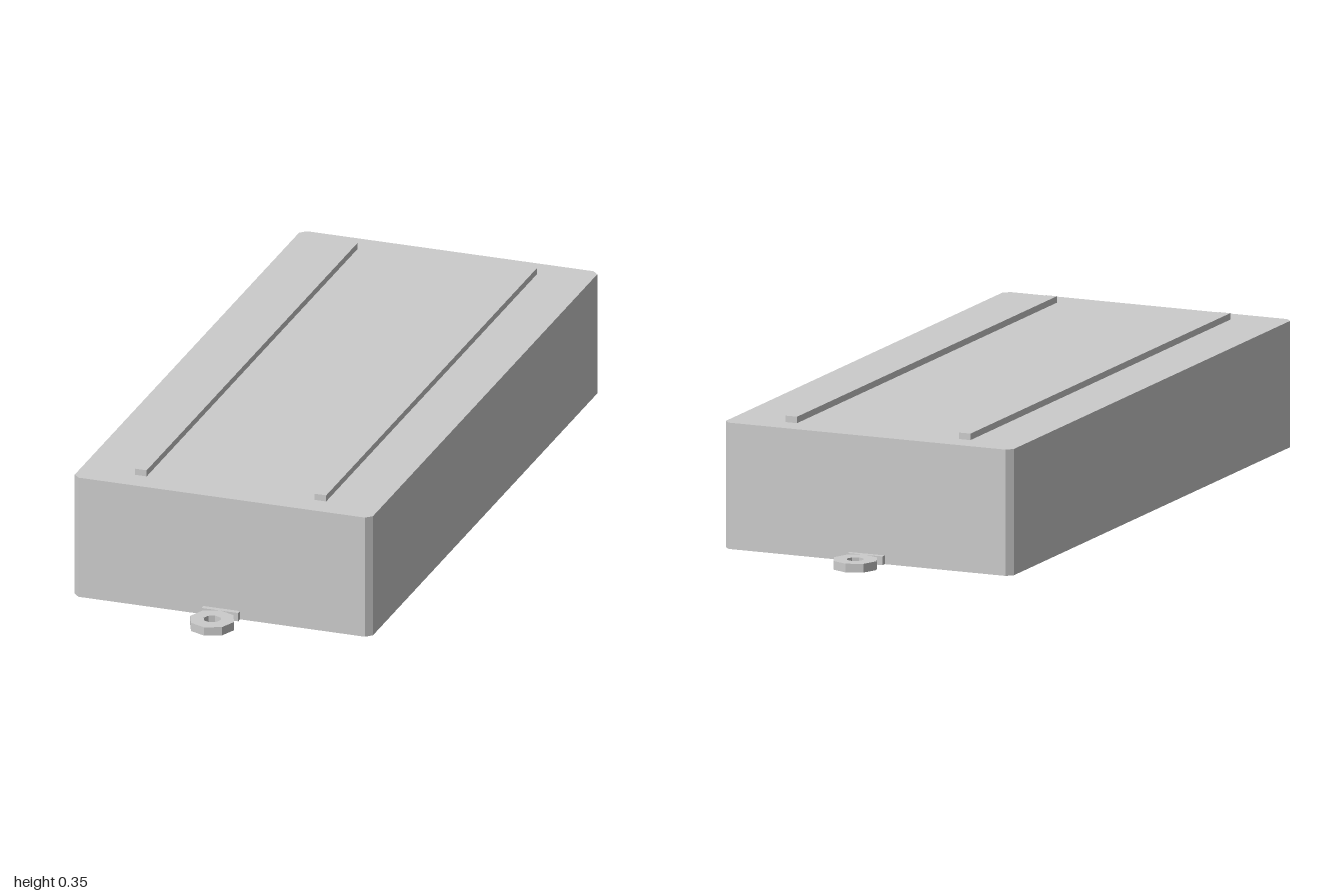
import * as THREE from 'three';

export function createModel() {
  const grey = new THREE.MeshStandardMaterial({ color: 0xcccccc, flatShading: true });
  grey.name = 'light grey';
  const model = new THREE.Group();
  model.name = 'ribbedBox';

  const add = (name, geometry, x, y, z) => {
    const mesh = new THREE.Mesh(geometry, grey);
    mesh.name = name;
    mesh.position.set(x, y, z);
    model.add(mesh);
    return mesh;
  };

  // Extrudes a plan outline upwards
  const extrudeUp = (shape, height) =>
    new THREE.ExtrudeGeometry(shape, { depth: height, bevelEnabled: false }).rotateX(-Math.PI / 2);

  const octagon = (r) => Array.from({ length: 8 }, (_, i) =>
    new THREE.Vector2(r * Math.cos(i * Math.PI / 4), r * Math.sin(i * Math.PI / 4)));

  // Box body with chamfered upright corners
  const w = 0.407, d = 0.867, c = 0.016;
  const outline = [
    [w, c - d], [w, d - c], [w - c, d], [c - w, d],
    [-w, d - c], [-w, c - d], [c - w, -d], [w - c, -d],
  ].map(([x, y]) => new THREE.Vector2(x, y));
  add('body', extrudeUp(new THREE.Shape(outline), 0.332), 0, 0, 0);

  // Long ribs on the lid
  for (const side of [1, -1]) {
    add(side > 0 ? 'leftRib' : 'rightRib',
      new THREE.BoxGeometry(0.032, 0.022, 1.6), side * 0.245, 0.338, 0);
  }

  // Mounting eyelet and its foot at each end
  for (const end of [1, -1]) {
    const label = end > 0 ? 'front' : 'back';
    const ring = new THREE.Shape(octagon(0.06));
    ring.holes.push(new THREE.Path(octagon(0.023).reverse()));
    add(label + 'Eyelet', extrudeUp(ring, 0.023), 0, 0, end * 0.94);
    add(label + 'EyeletFoot', new THREE.BoxGeometry(0.1, 0.023, 0.018), 0, 0.0115, end * 0.872);
  }

  return model;
}
